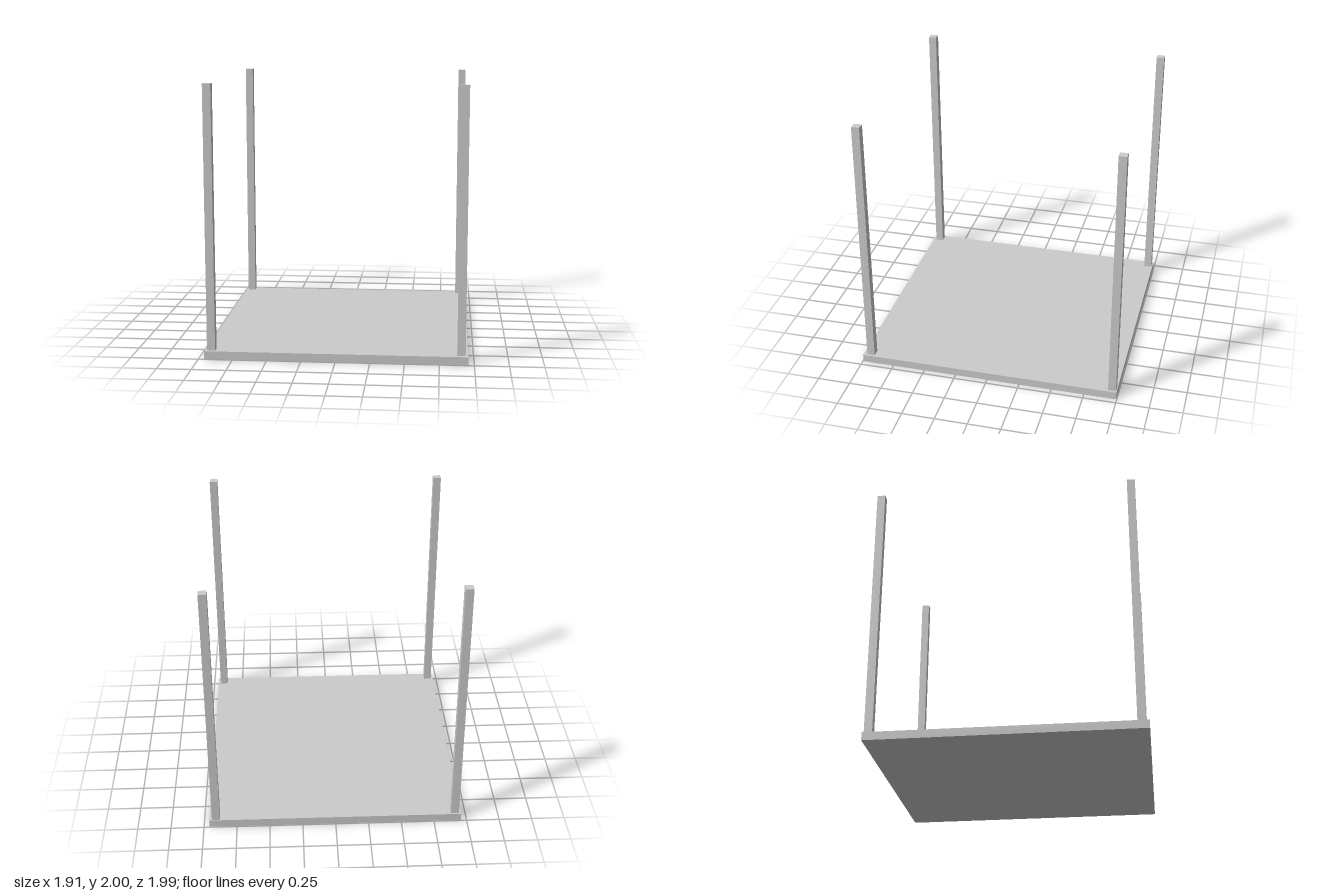
import * as THREE from 'three';

export function createModel() {
  const group = new THREE.Group();
  const material = new THREE.MeshStandardMaterial({ color: 0xcccccc, flatShading: true });

  const addBox = (name, [w, h, d], [x, y, z]) => {
    const mesh = new THREE.Mesh(new THREE.BoxGeometry(w, h, d), material);
    mesh.name = name;
    mesh.position.set(x, y + h / 2, z);
    group.add(mesh);
  };

  // Flat base slab
  const slab = 0.06;
  addBox('base', [1.914, slab, 1.99], [0, 0, 0]);

  // Four square corner posts, the rear pair set closer to the edge
  const post = 0.06;
  for (const [side, x, dz] of [['left', 0.908, -0.002], ['right', -0.91, 0.002]]) {
    for (const [end, z] of [['front', 0.939], ['back', -0.957]]) {
      addBox(`${end} ${side} post`, [post, 2 - slab, post], [x, slab, z + dz]);
    }
  }
  return group;
}
